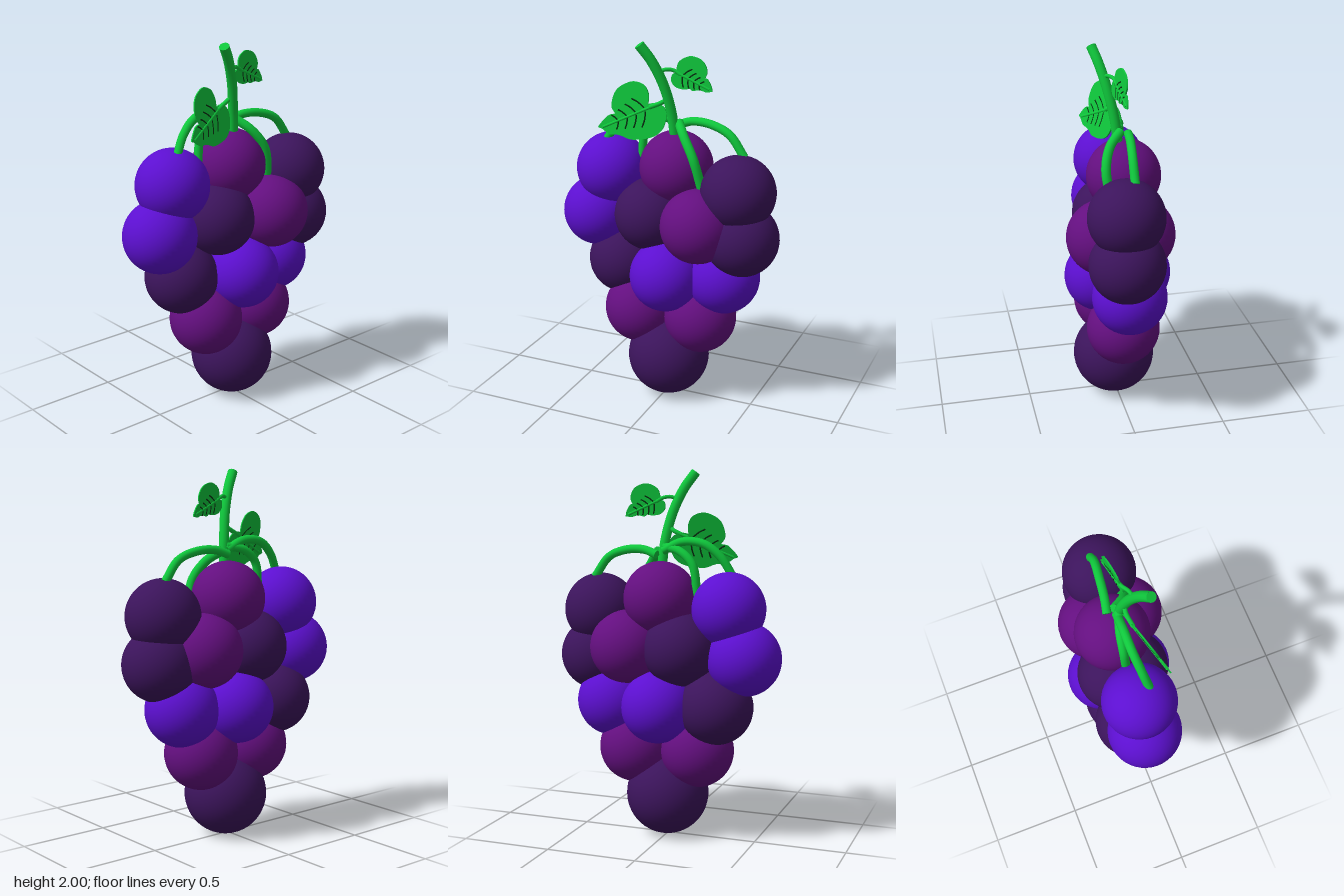
import * as THREE from 'three';

const mat = (color) => new THREE.MeshStandardMaterial({ color });
const V = (p) => new THREE.Vector3(...p);

export function createModel() {
  const model = new THREE.Group();
  model.name = 'grapeBunch';
  const blue = mat(0x5c0fd0), purple = mat(0x640f80), dark = mat(0x3c145c);
  const green = mat(0x0fc83c), veinDark = mat(0x04300f);

  const add = (parent, name, geometry, material) => {
    const mesh = new THREE.Mesh(geometry, material);
    mesh.name = name;
    parent.add(mesh);
    return mesh;
  };

  // Grapes: material, x, y, z, radius
  const grapes = new THREE.Group();
  grapes.name = 'grapes';
  model.add(grapes);
  [
    [blue, -0.355, 1.27, -0.04, 0.197], [purple, 0.03, 1.315, -0.04, 0.2], [dark, 0.41, 1.237, 0.03, 0.2],
    [blue, -0.443, 1.01, -0.04, 0.198], [dark, 0.435, 0.985, 0.03, 0.2],
    [dark, -0.095, 1.05, 0.017, 0.2], [dark, -0.095, 1.05, -0.077, 0.2],
    [purple, 0.213, 1.05, 0.105, 0.2], [purple, 0.213, 1.05, -0.075, 0.2],
    [dark, -0.293, 0.742, -0.055, 0.2], [blue, 0.32, 0.737, -0.01, 0.2],
    [blue, 0.022, 0.733, 0.088, 0.197], [blue, 0.022, 0.733, -0.107, 0.197],
    [purple, -0.17, 0.483, 0, 0.2], [purple, 0.19, 0.483, -0.005, 0.2],
    [dark, 0.007, 0.227, 0.01, 0.227],
  ].forEach(([m, x, y, z, r]) => {
    add(grapes, 'grape', new THREE.SphereGeometry(r, 40, 28), m).position.set(x, y, z);
  });

  // Round stalk with closed ends
  function stalk(parent, name, points, radius, material = green) {
    const curve = new THREE.CatmullRomCurve3(points.map(V));
    add(parent, name, new THREE.TubeGeometry(curve, 24, radius, 12), material);
    [0, 1].forEach((t) => {
      const cap = add(parent, name + 'End', new THREE.CircleGeometry(radius, 12), material);
      cap.position.copy(curve.getPoint(t));
      const out = curve.getTangent(t).multiplyScalar(t ? 1 : -1);
      cap.quaternion.setFromUnitVectors(new THREE.Vector3(0, 0, 1), out);
    });
  }
  stalk(model, 'mainStem', [[-0.12, 1.985, 0.1], [-0.065, 1.9, 0.07], [-0.012, 1.77, 0.035], [0.02, 1.62, 0.005], [0.033, 1.48, -0.01]], 0.027);
  stalk(model, 'rightBranch', [[0.045, 1.55, -0.06], [0.12, 1.575, -0.045], [0.23, 1.572, -0.03], [0.34, 1.53, -0.015], [0.425, 1.42, -0.01]], 0.023);
  stalk(model, 'frontBranch', [[0.05, 1.57, -0.02], [0.11, 1.51, 0.05], [0.175, 1.41, 0.085], [0.22, 1.24, 0.065]], 0.025);
  stalk(model, 'leftBranch', [[0.02, 1.57, -0.02], [-0.09, 1.62, -0.025], [-0.21, 1.61, -0.025], [-0.3, 1.54, -0.01], [-0.36, 1.44, 0.01]], 0.023);
  stalk(model, 'backBranch', [[0.02, 1.59, -0.01], [-0.08, 1.57, -0.04], [-0.155, 1.5, -0.05], [-0.18, 1.34, -0.045]], 0.023);

  // Thin leaf on a sloping plane z = plane(x, y); the outline starts at the tip
  function leaf(name, outline, plane, base, tip, veinLength) {
    const group = new THREE.Group();
    group.name = name;
    model.add(group);
    const shape = new THREE.Shape();
    shape.moveTo(...outline[0]);
    const [first, ...rest] = outline;
    rest.forEach((run) => shape.splineThru(run.map((p) => new THREE.Vector2(...p))));
    shape.lineTo(...first);
    const geo = new THREE.ExtrudeGeometry(shape, { depth: 0.008, bevelEnabled: false, curveSegments: 6 });
    const pos = geo.attributes.position;
    for (let i = 0; i < pos.count; i++) {
      pos.setZ(i, pos.getZ(i) - 0.004 + plane(pos.getX(i), pos.getY(i)));
    }
    geo.computeVertexNormals();
    add(group, 'blade', geo, green);

    // Midrib and curved side veins
    const on = (x, y) => [x, y, plane(x, y)];
    const a = new THREE.Vector2(...base), b = new THREE.Vector2(...tip);
    const mid = a.clone().lerp(b, 0.5);
    stalk(group, 'midrib', [on(a.x, a.y), on(mid.x, mid.y), on(b.x, b.y)], 0.008);
    const dir = b.clone().sub(a).normalize();
    for (const side of [-1, 1]) {
      const across = new THREE.Vector2(-dir.y * side, dir.x * side);
      for (let i = 0; i < 4; i++) {
        const root = a.clone().lerp(b, 0.2 + i * 0.17);
        const len = veinLength * (1 - i * 0.17);
        const points = [[0, 0.12], [0.3, 0.6], [0.65, 0.95]].map(([f, s]) => {
          const p = root.clone().addScaledVector(dir, f * len * 0.8).addScaledVector(across, s * len);
          return on(p.x, p.y);
        });
        stalk(group, 'sideVein', points, 0.0055, veinDark);
      }
    }
  }

  const leftPlane = (x, y) => 0.12 - 0.286 * (x + 0.355) - 0.236 * (y - 1.54);
  leaf('leftLeaf', [
    [-0.355, 1.535],
    [[-0.335, 1.565], [-0.305, 1.597], [-0.27, 1.605]],
    [[-0.295, 1.65], [-0.275, 1.73], [-0.205, 1.772], [-0.14, 1.757], [-0.11, 1.71], [-0.108, 1.66]],
    [[-0.07, 1.665], [-0.025, 1.645], [-0.008, 1.6], [-0.025, 1.53], [-0.075, 1.49], [-0.17, 1.475], [-0.22, 1.49]],
    [[-0.25, 1.498], [-0.29, 1.5], [-0.33, 1.525]],
  ], leftPlane, [-0.07, 1.655], [-0.33, 1.535], 0.085);

  const rightPlane = (x, y) => 0.03 - 0.17 * x - 0.1 * (y - 1.74);
  leaf('rightLeaf', [
    [0.24, 1.75],
    [[0.235, 1.775], [0.215, 1.81], [0.2, 1.815]],
    [[0.21, 1.85], [0.195, 1.89], [0.165, 1.915], [0.115, 1.925], [0.065, 1.9], [0.05, 1.86], [0.055, 1.84]],
    [[0.03, 1.83], [0.025, 1.795], [0.05, 1.765], [0.09, 1.755], [0.125, 1.76]],
    [[0.14, 1.75], [0.175, 1.755], [0.21, 1.745]],
  ], rightPlane, [0.05, 1.84], [0.225, 1.76], 0.055);

  // Leaf stalks
  stalk(model, 'leftLeafStalk', [[0.005, 1.7, 0.02], [-0.03, 1.675, 0.01], [-0.1, 1.643, leftPlane(-0.1, 1.643)]], 0.012);
  stalk(model, 'rightLeafStalk', [[-0.04, 1.84, 0.05], [0, 1.855, 0.035], [0.035, 1.85, 0.015], [0.07, 1.83, rightPlane(0.07, 1.83)]], 0.01);
  return model;
}
